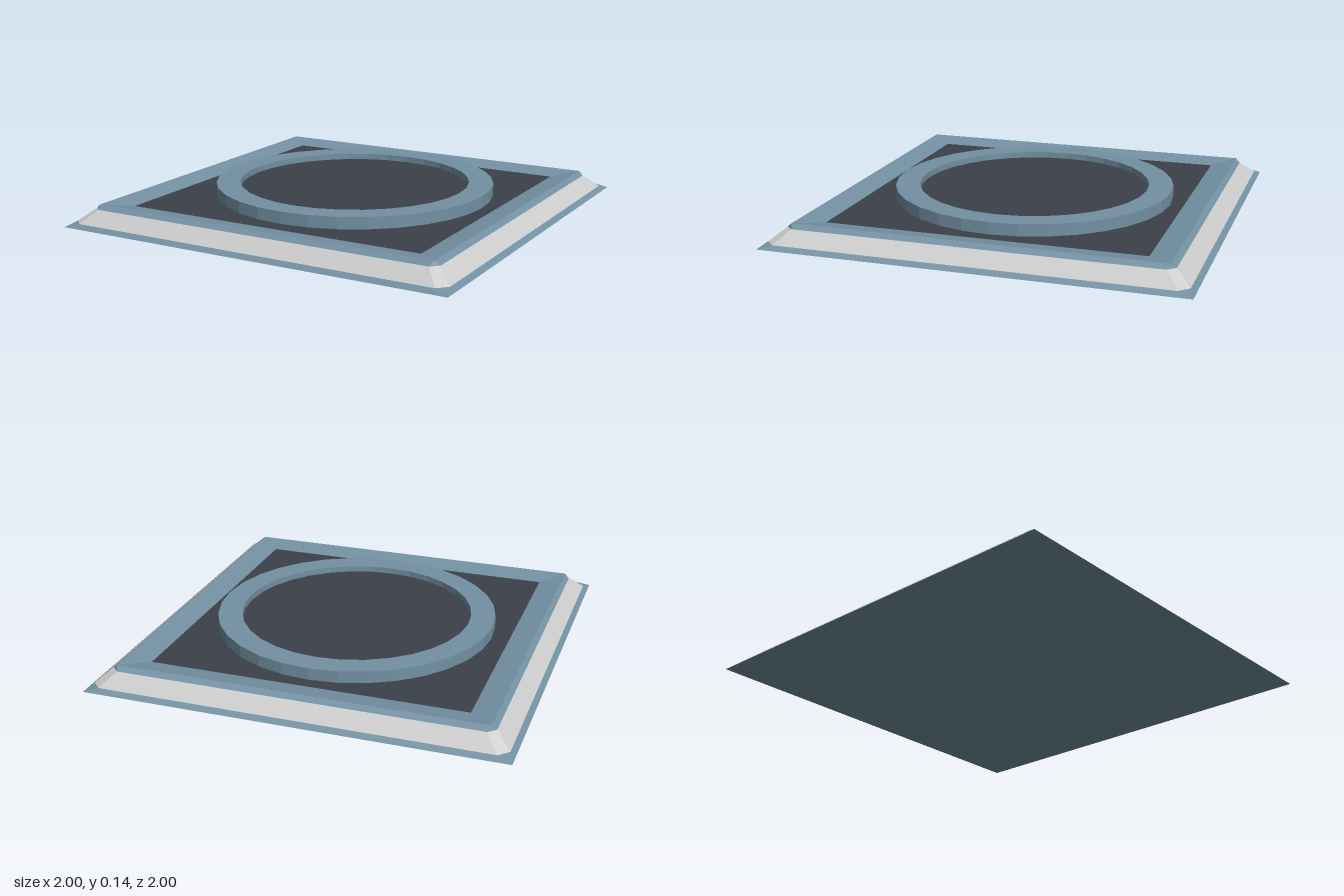
import * as THREE from 'three';

const material = (color) => new THREE.MeshStandardMaterial({ color, flatShading: true });

// Square loop of half width h at height y, with corners cut by c: eight points.
function loop([h, y, c = 0]) {
  const points = [];
  let corner = [[h, h - c], [h - c, h]];
  for (let k = 0; k < 4; k++) {
    for (const [x, z] of corner) points.push(new THREE.Vector3(x, y, z));
    corner = corner.map(([x, z]) => [-z, x]);
  }
  return points;
}

// Skin between successive loops, leaving out collapsed triangles.
function loft(sections) {
  const loops = sections.map(loop);
  const positions = [];
  const triangle = (a, b, c) => {
    if (new THREE.Triangle(a, b, c).getArea() < 1e-8) return;
    for (const p of [a, b, c]) positions.push(p.x, p.y, p.z);
  };
  for (let s = 0; s + 1 < loops.length; s++) {
    const low = loops[s], high = loops[s + 1];
    for (let i = 0; i < 8; i++) {
      const j = (i + 1) % 8;
      triangle(low[i], high[i], high[j]);
      triangle(low[i], high[j], low[j]);
    }
  }
  const geometry = new THREE.BufferGeometry();
  geometry.setAttribute('position', new THREE.Float32BufferAttribute(positions, 3));
  geometry.computeVertexNormals();
  return geometry;
}

export function createModel() {
  const group = new THREE.Group();
  const blue = material(0x7391a3);
  const dark = material(0x3a404a);
  const grey = material(0xcccccc);

  const add = (name, geometry, mat) => {
    const mesh = new THREE.Mesh(geometry, mat);
    mesh.name = name;
    group.add(mesh);
    return mesh;
  };

  // Sloping square frame
  const bandLow = [0.976, 0.02, 0.045];
  const bandHigh = [0.904, 0.08, 0.035];
  add('baseEdge', loft([[0, 0], [1, 0], bandLow]), blue);
  add('slopeBand', loft([bandLow, bandHigh]), grey);
  add('topRim', loft([bandHigh, [0.88, 0.1], [0.764, 0.08]]), blue);
  add('floorPanel', loft([[0.764, 0.08], [0, 0.08]]), dark);

  // Raised ring and the disc inside it, set slightly off centre
  const profile = [[0.69, 0.08], [0.69, 0.138], [0.57, 0.138], [0.57, 0.08]]
    .map(([r, y]) => new THREE.Vector2(r, y));
  add('ring', new THREE.LatheGeometry(profile, 32), blue).position.set(0.01, 0, -0.01);
  const disc = new THREE.CircleGeometry(0.57, 32).rotateX(-Math.PI / 2);
  add('innerDisc', disc, dark).position.set(0.01, 0.108, -0.01);

  return group;
}
